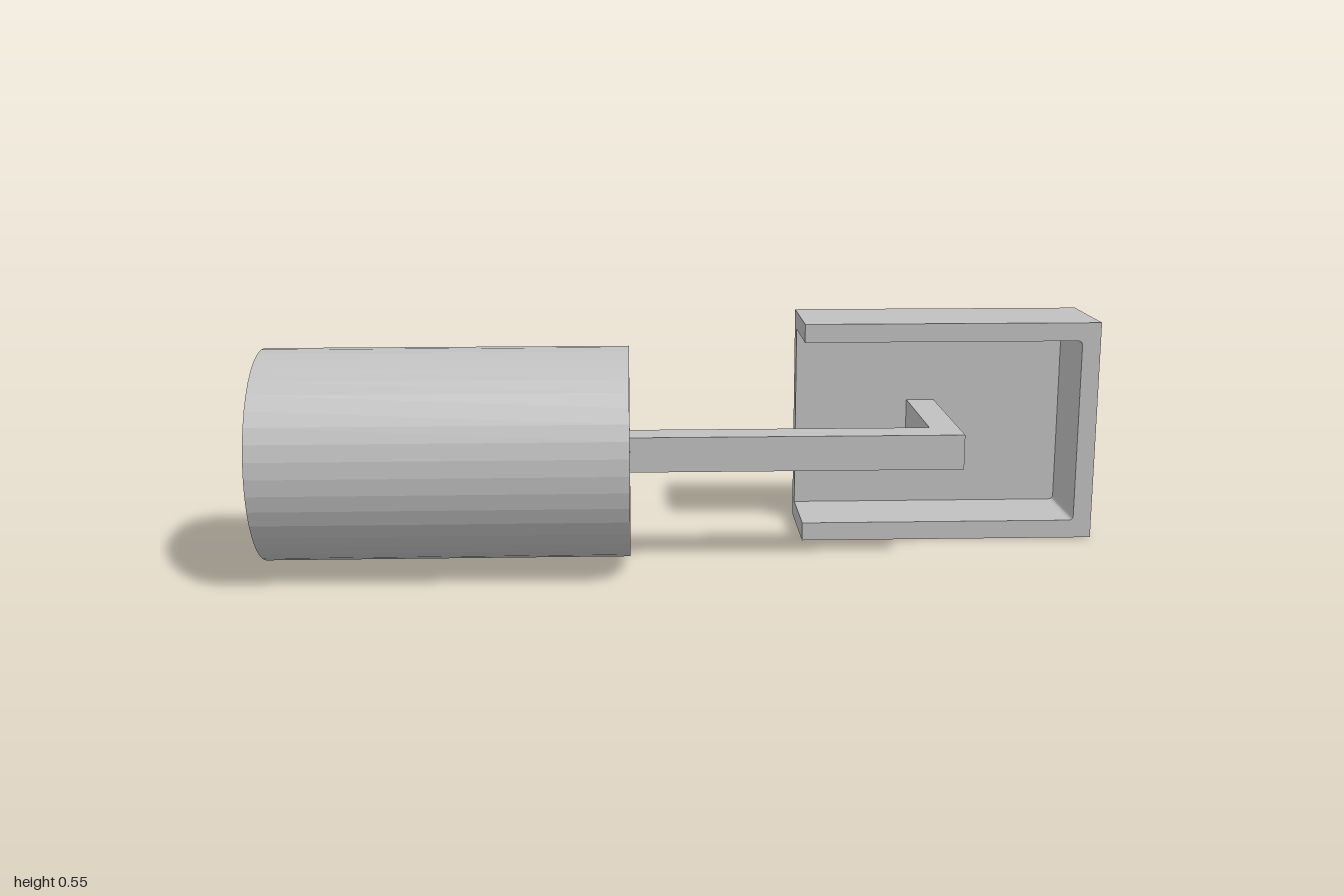
import * as THREE from 'three';

export function createModel() {
  const model = new THREE.Group();
  const grey = new THREE.MeshStandardMaterial({ color: 0xc0c0c0 });
  grey.name = 'plain grey';
  const flatGrey = grey;
  flatGrey.flatShading = true;

  const add = (name, geometry, x = 0, y = 0, z = 0) => {
    const mesh = new THREE.Mesh(geometry, flatGrey);
    mesh.name = name;
    mesh.position.set(x, y, z);
    model.add(mesh);
    return mesh;
  };

  // Roller: faceted cylinder lying along x
  const roller = new THREE.CylinderGeometry(0.247, 0.247, 0.845, 40);
  roller.rotateZ(Math.PI / 2);
  add('roller', roller, -0.5775, 0.274, 0.086);

  // Bent arm: one L-shaped bar, drawn in plan and extruded upwards
  const plan = new THREE.Shape([
    [-0.155, 0.044], [0.56, 0.044], [0.56, -0.288], [0.63, -0.288],
    [0.63, 0.128], [-0.155, 0.128],
  ].map(([x, z]) => new THREE.Vector2(x, -z)));
  const arm = new THREE.ExtrudeGeometry(plan, { depth: 0.083, bevelEnabled: false });
  arm.rotateX(-Math.PI / 2);
  add('bentArm', arm, 0, 0.232, 0);

  // Bracket rim: C-shaped wall, open on the -x side, with tiny inner fillets
  const x0 = 0.273, x1 = 1, top = 0.545, wall = 0.045, r = 0.012;
  const xi = x1 - wall, yi = top - wall;
  const rim = new THREE.Shape();
  rim.moveTo(x0, 0);
  rim.lineTo(x1, 0);
  rim.lineTo(x1, top);
  rim.lineTo(x0, top);
  rim.lineTo(x0, yi);
  rim.lineTo(xi - r, yi);
  rim.quadraticCurveTo(xi, yi, xi, yi - r);
  rim.lineTo(xi, wall + r);
  rim.quadraticCurveTo(xi, wall, xi - r, wall);
  rim.lineTo(x0, wall);
  rim.closePath();
  add('bracketRim', new THREE.ExtrudeGeometry(rim, { depth: 0.205, bevelEnabled: false, curveSegments: 4 }), 0, 0, -0.288);

  // Bracket back plate
  add('bracketBack', new THREE.BoxGeometry(x1 - x0, top, 0.045), (x0 + x1) / 2, top / 2, -0.3105);

  return model;
}
